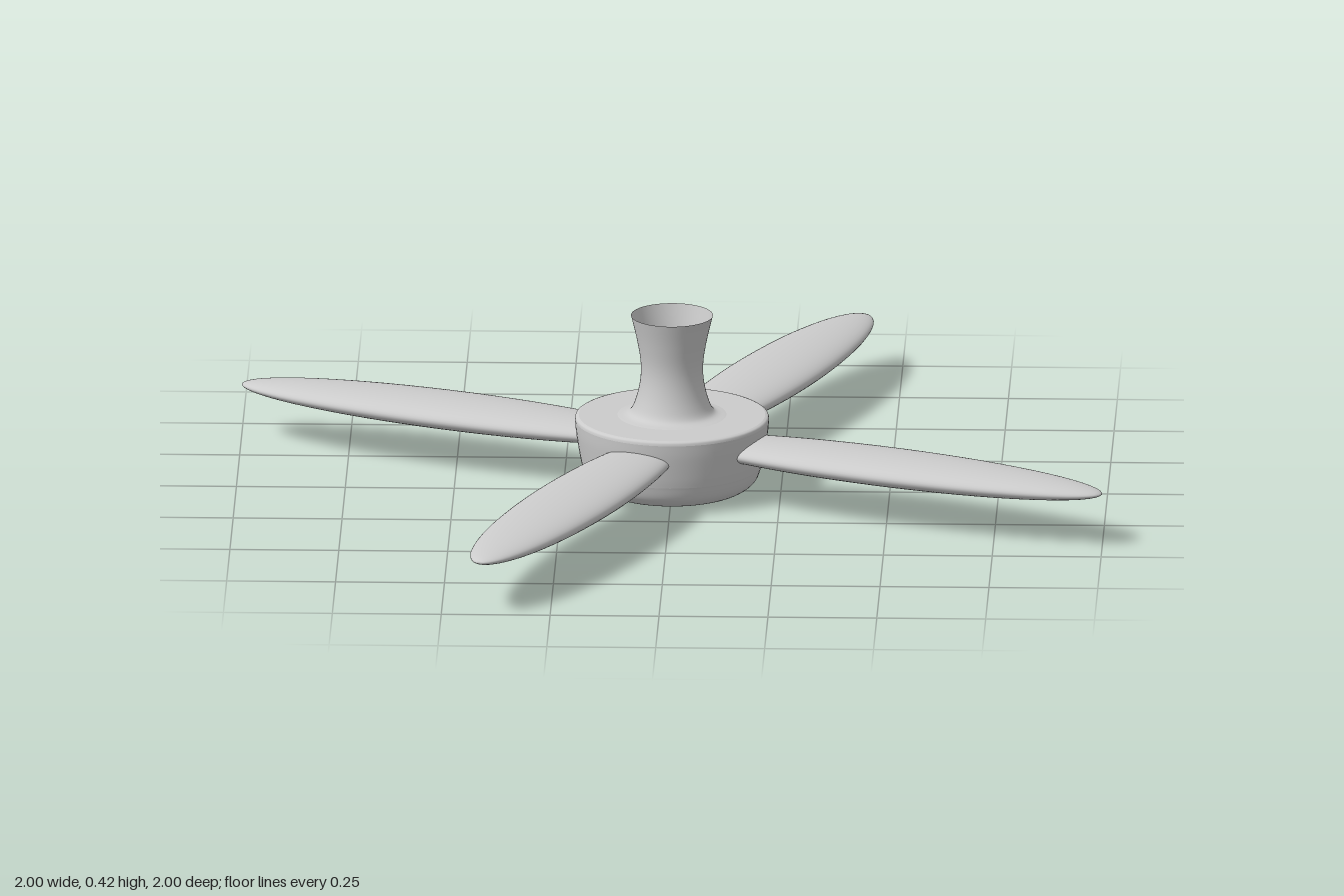
import * as THREE from 'three';

const material = new THREE.MeshStandardMaterial({ color: 0xcccccc, side: THREE.DoubleSide });

// Turned part from a smooth curve through [radius, height] points
function turned(name, points, divisions = 24) {
  const curve = new THREE.SplineCurve(points.map(([r, y]) => new THREE.Vector2(r, y)));
  const profile = curve.getPoints(divisions);
  profile.forEach((p) => { p.x = Math.max(p.x, 0); });
  const mesh = new THREE.Mesh(new THREE.LatheGeometry(profile, 64), material);
  mesh.name = name;
  return mesh;
}

export function createModel() {
  const model = new THREE.Group();
  model.name = 'ceilingFan';

  // Motor housing: shallow bowl, side wall, rounded rim and flat cover
  const housing = new THREE.Group();
  housing.name = 'motorHousing';
  housing.add(
    turned('bowlBase', [[0, 0], [0.12, 0.002]], 2),
    turned('bowl', [[0.12, 0.002], [0.165, 0.011], [0.194, 0.032], [0.207, 0.066]]),
    turned('sideWall', [[0.207, 0.066], [0.212, 0.09], [0.22, 0.14], [0.223, 0.172]]),
    turned('rim', [[0.223, 0.172], [0.221, 0.179], [0.214, 0.182]], 6),
    turned('cover', [[0.214, 0.182], [0, 0.182]], 2),
  );
  model.add(housing);

  // Hollow flared mounting neck, open at the top
  model.add(turned('mountingNeck', [
    [0.125, 0.182], [0.098, 0.19], [0.083, 0.22], [0.073, 0.265],
    [0.072, 0.31], [0.081, 0.365], [0.094, 0.42],
  ], 36));

  // Four slim elliptical blades
  const bladeGeometry = new THREE.SphereGeometry(1, 48, 32);
  bladeGeometry.rotateZ(-Math.PI / 2);
  bladeGeometry.scale(0.54, 0.034, 0.106);
  bladeGeometry.translate(0.54, 0.123, 0);
  for (let i = 0; i < 4; i++) {
    const blade = new THREE.Mesh(bladeGeometry, material);
    blade.name = `blade${i + 1}`;
    blade.rotation.y = -Math.PI / 8 + (i * Math.PI) / 2;
    model.add(blade);
  }
  return model;
}
